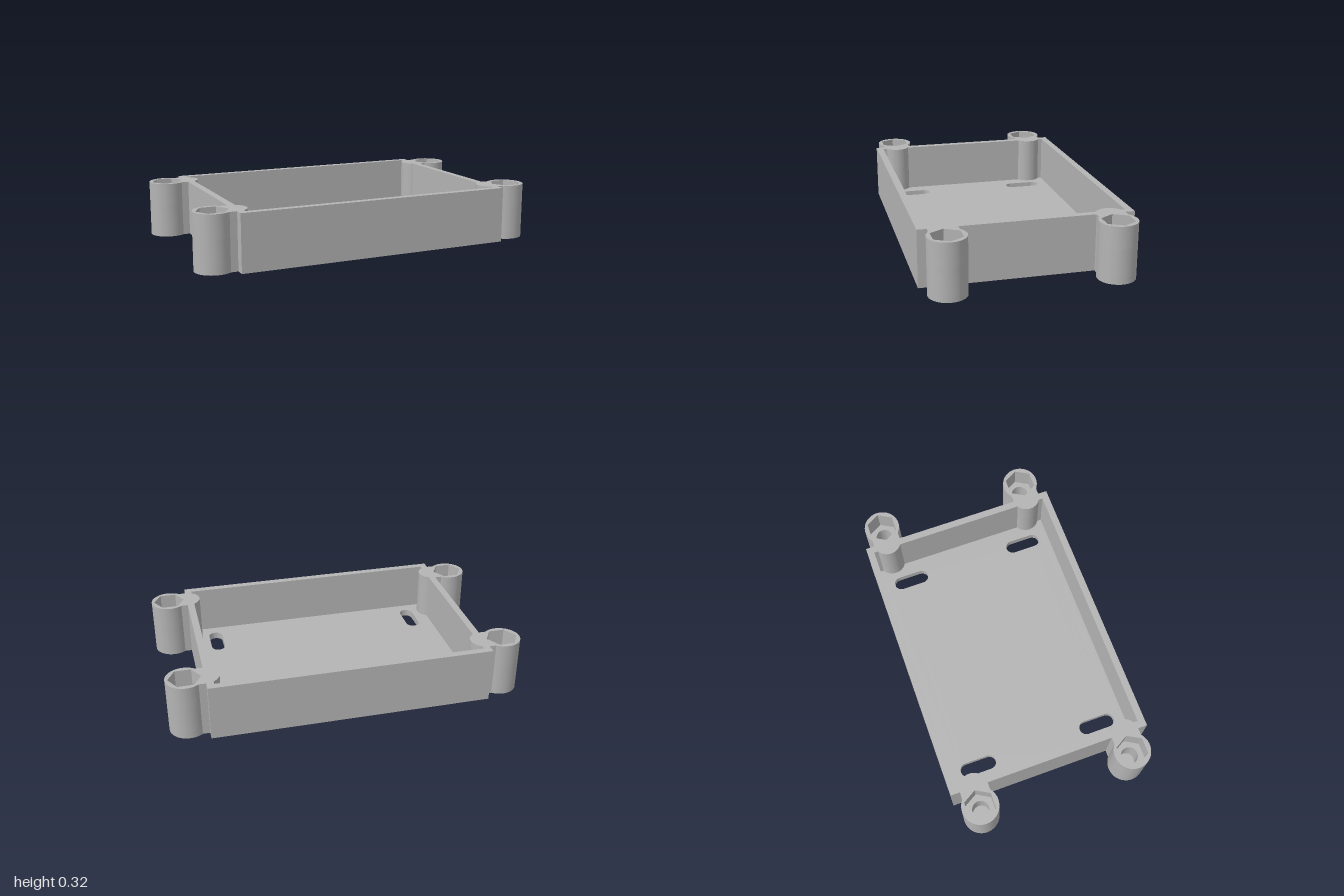
import * as THREE from 'three';
import { toCreasedNormals } from 'three/addons/utils/BufferGeometryUtils.js';

const HEIGHT = 0.316, FLOOR = 0.04, NUT_SEAT = 0.19;
const HALF_X = 0.79, HALF_Z = 0.58, WALL = 0.04;
const BOSS_X = 0.896, BOSS_Z = 0.447, BOSS_R = 0.104, NECK = 0.08;

const point = (x, y) => new THREE.Vector2(x, y);

// Points along an arc, angles in radians
function arc(cx, cy, r, from, to, steps) {
  return Array.from({ length: steps + 1 }, (_, i) => {
    const a = from + (to - from) * i / steps;
    return point(cx + r * Math.cos(a), cy + r * Math.sin(a));
  });
}

// Mirrors one quadrant's points into a full closed loop
function mirrorLoop(quarter) {
  const flip = (sx, sy) => quarter.map(p => point(p.x * sx, p.y * sy));
  return [
    ...quarter, ...flip(-1, 1).reverse(),
    ...flip(-1, -1), ...flip(1, -1).reverse(),
  ];
}

// Outer edge: box side, neck, round boss, neck, box corner
function outline() {
  const a = Math.PI - Math.asin(NECK / BOSS_R);
  return mirrorLoop([
    point(HALF_X, BOSS_Z - NECK),
    ...arc(BOSS_X, BOSS_Z, BOSS_R, -a, a, 48),
    point(HALF_X, BOSS_Z + NECK),
    point(HALF_X, HALF_Z),
  ]);
}

// Inner edge of the walls, with a rounded rib beside each boss
function cavity() {
  const a = Math.acos(WALL / NECK);
  return mirrorLoop([
    ...arc(HALF_X, BOSS_Z, NECK, Math.PI + a, Math.PI - a, 24),
    point(HALF_X - WALL, HALF_Z - WALL),
  ]);
}

// Rounded slot running front to back
function slot(x, y) {
  const r = 0.04, half = 0.067;
  return [
    ...arc(x, y + half, r, 0, Math.PI, 16),
    ...arc(x, y - half, r, Math.PI, 2 * Math.PI, 16),
  ];
}

const corners = [[1, 1], [-1, 1], [-1, -1], [1, -1]];
const atCorners = make => corners.map(([sx, sy]) => make(sx, sy));

export function createModel() {
  const grey = new THREE.MeshStandardMaterial({ color: 0xb4b4b4 });
  grey.name = 'grey plastic';
  const group = new THREE.Group();
  group.name = 'mountingTray';

  // One horizontal slice of the tray, between two heights
  function layer(name, bottom, top, holes) {
    const shape = new THREE.Shape(outline());
    shape.holes = holes.map(h => new THREE.Path(h));
    const extruded = new THREE.ExtrudeGeometry(shape, { depth: top - bottom, bevelEnabled: false });
    extruded.rotateX(-Math.PI / 2);
    const mesh = new THREE.Mesh(toCreasedNormals(extruded, Math.PI / 7), grey);
    mesh.name = name;
    mesh.position.y = bottom;
    group.add(mesh);
  }

  // Floor with four slots
  layer('floor', 0, FLOOR, atCorners((sx, sy) => slot(sx * 0.629, sy * 0.371)));

  // Lower walls with round screw holes in the bosses
  const screwHoles = atCorners((sx, sy) =>
    arc(sx * BOSS_X, sy * BOSS_Z, 0.048, 0, 2 * Math.PI, 32).slice(0, -1));
  layer('lowerWalls', FLOOR, NUT_SEAT, [cavity(), ...screwHoles]);

  // Upper walls with hexagonal nut pockets
  const nutPockets = atCorners((sx, sy) =>
    arc(sx * BOSS_X, sy * BOSS_Z, 0.089, 0, 2 * Math.PI, 6).slice(0, -1));
  layer('upperWalls', NUT_SEAT, HEIGHT, [cavity(), ...nutPockets]);

  return group;
}
